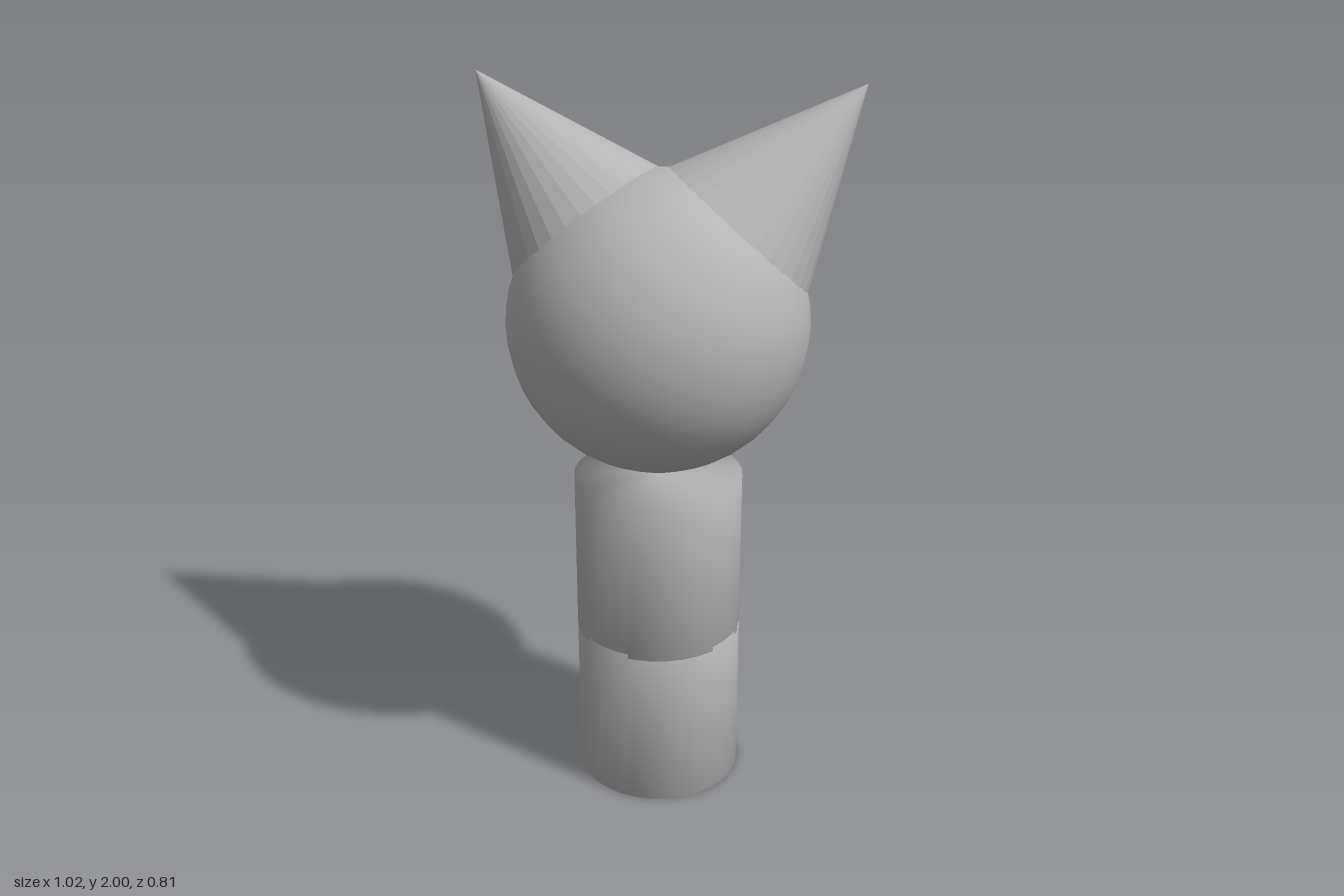
import * as THREE from 'three';
import { mergeVertices } from 'three/addons/utils/BufferGeometryUtils.js';

const grey = new THREE.MeshStandardMaterial({ color: 0xb4b4b4 });
grey.name = 'grey';

const headCentre = new THREE.Vector3(-0.017, 1.375, 0);

// Shares vertices across the cap edges so the shading runs smoothly over them
function softened(geometry) {
  geometry.deleteAttribute('uv');
  geometry.deleteAttribute('normal');
  const merged = mergeVertices(geometry, 1e-4);
  merged.computeVertexNormals();
  return merged;
}

// Faceted cone whose axis runs from its tip to the centre of the head
function makeEar(name, tip) {
  const height = 0.52;
  const shape = new THREE.ConeGeometry(0.257, height, 32).translate(0, -height / 2, 0).toNonIndexed();
  shape.computeVertexNormals();
  const ear = new THREE.Mesh(shape, grey);
  ear.name = name;
  const axis = tip.clone().sub(headCentre).normalize();
  ear.quaternion.setFromUnitVectors(new THREE.Vector3(0, 1, 0), axis);
  ear.position.copy(tip);
  return ear;
}

export function createModel() {
  const model = new THREE.Group();
  model.name = 'catFigure';

  // Two stacked body drums, overlapping slightly
  for (const [name, bottom, top] of [['lowerBody', 0, 0.474], ['upperBody', 0.461, 0.935]]) {
    const drum = new THREE.Mesh(softened(new THREE.CylinderGeometry(0.234, 0.234, top - bottom, 32)), grey);
    drum.name = name;
    drum.position.set(-0.018, (bottom + top) / 2, -0.005);
    model.add(drum);
  }

  // Round head, floating just above the body
  const head = new THREE.Mesh(new THREE.SphereGeometry(0.405, 32, 24), grey);
  head.name = 'head';
  head.position.copy(headCentre);
  model.add(head);

  // Pointed ears
  model.add(makeEar('rightEar', new THREE.Vector3(-0.514, 2.0, -0.155)));
  model.add(makeEar('leftEar', new THREE.Vector3(0.511, 1.98, -0.155)));
  return model;
}
